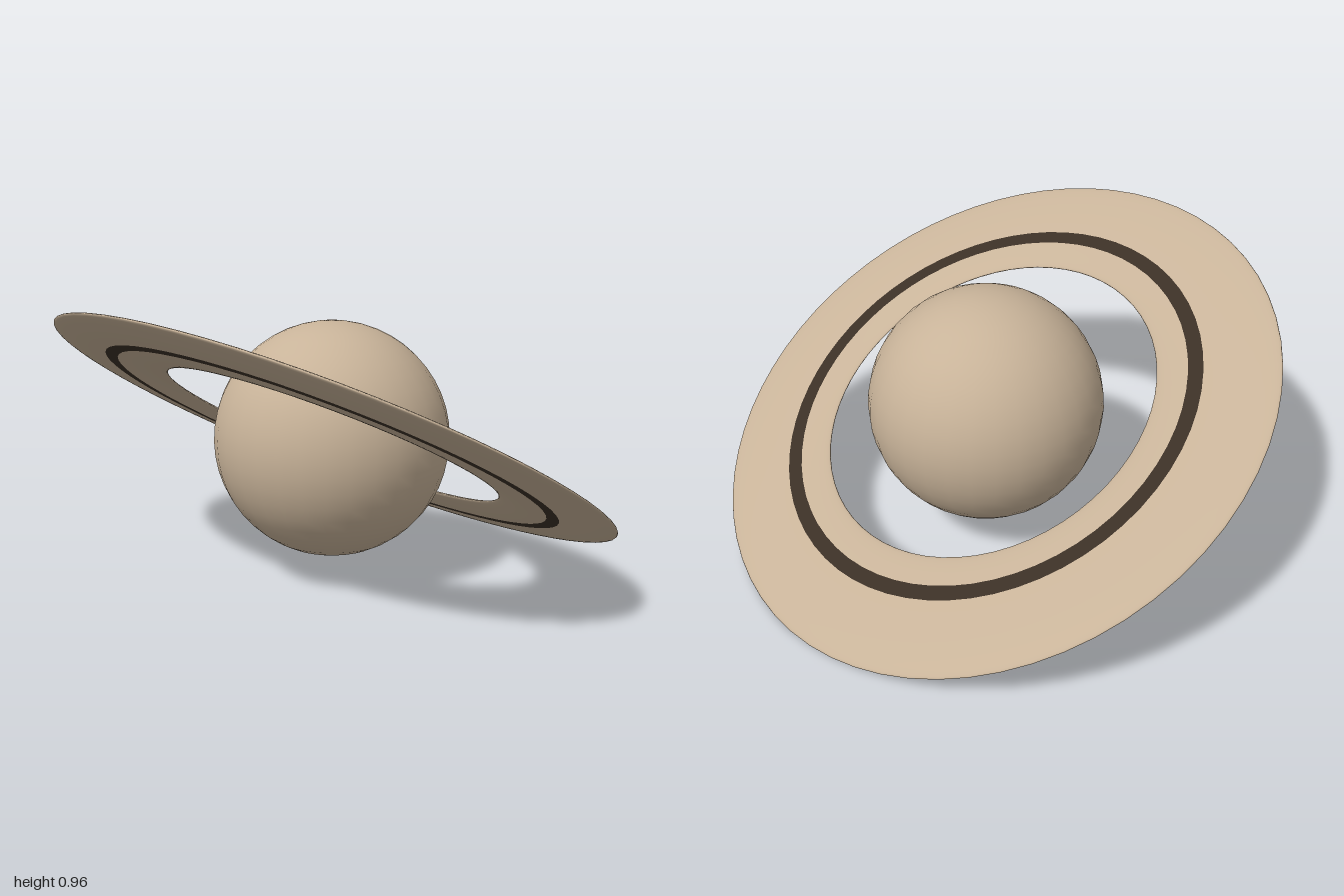
import * as THREE from 'three';

export function createModel() {
  const tan = new THREE.MeshStandardMaterial({ name: 'sandTan', color: 0xc8b399 });
  const dark = new THREE.MeshStandardMaterial({ name: 'darkBrown', color: 0x3b3026 });

  const model = new THREE.Group();
  model.name = 'ringedPlanet';

  // Globe
  const globe = new THREE.Mesh(new THREE.SphereGeometry(0.403, 32, 24), tan);
  globe.name = 'globe';
  globe.position.y = 0.48;
  model.add(globe);

  // Tilted ring: a flattened torus, raised at the front
  const ring = new THREE.Group();
  ring.name = 'ring';
  ring.position.y = 0.48;
  ring.rotation.x = -0.5;
  model.add(ring);

  // One strip of the ring's surface, between two angles of its oval section
  function addStrip(name, material, fromDeg, toDeg) {
    const steps = Math.max(2, Math.ceil((toDeg - fromDeg) / 8));
    const points = [];
    for (let i = 0; i <= steps; i++) {
      const a = THREE.MathUtils.degToRad(fromDeg + ((toDeg - fromDeg) * i) / steps);
      points.push(new THREE.Vector2(0.8 + 0.2 * Math.cos(a), 0.02 * Math.sin(a)));
    }
    const strip = new THREE.Mesh(new THREE.LatheGeometry(points, 64), material);
    strip.name = name;
    ring.add(strip);
  }

  addStrip('ringOuter', tan, -86.3, 102.4);
  addStrip('ringGapTop', dark, 102.4, 117.7);
  addStrip('ringInner', tan, 117.7, 261.4);
  addStrip('ringGapBottom', dark, 261.4, 273.7);

  return model;
}
